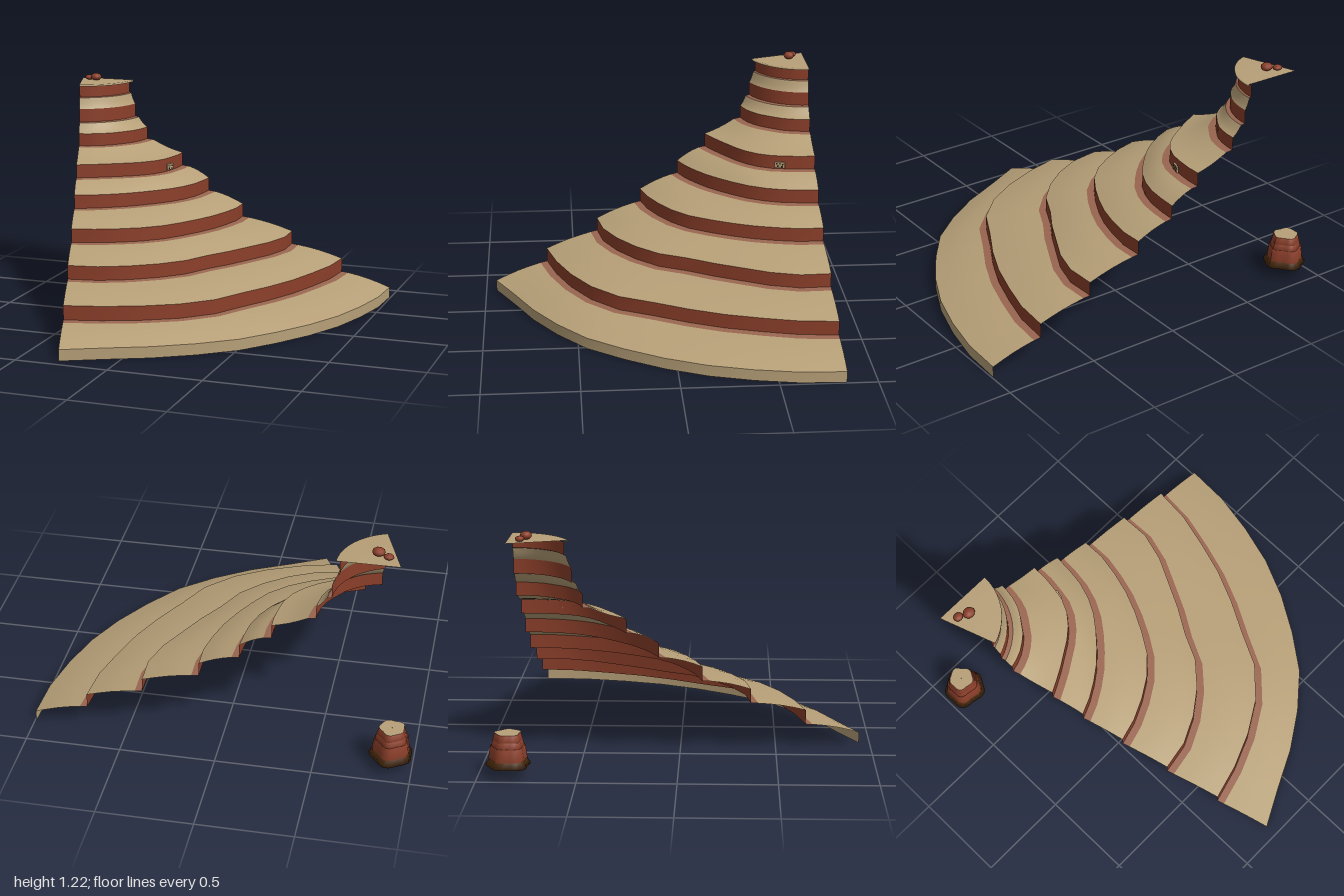
import * as THREE from 'three';

const mat = (name, color) => {
  const m = new THREE.MeshStandardMaterial({ color, side: THREE.DoubleSide });
  m.name = name;
  return m;
};

export function createModel() {
  const group = new THREE.Group();
  const sand = mat('sand', 0xb7a078);
  const red = mat('red rock', 0x8c3f2a);
  const dusty = mat('dusty red', 0x9a6650);
  const brown = mat('dark brown', 0x52300f);
  const dark = mat('dark opening', 0x2c1c12);

  const add = (name, geo, material, parent = group) => {
    const m = new THREE.Mesh(geo, material);
    m.name = name;
    parent.add(m);
    return m;
  };

  // Sheet lofted through rows of points
  const loft = (rows) => {
    const n = rows[0].length, pos = [], idx = [];
    rows.forEach((r) => r.forEach((p) => pos.push(...p)));
    for (let i = 0; i < rows.length - 1; i++) {
      for (let j = 0; j < n - 1; j++) {
        const a = i * n + j, b = a + n;
        idx.push(a, b, a + 1, b, b + 1, a + 1);
      }
    }
    const g = new THREE.BufferGeometry();
    g.setAttribute('position', new THREE.Float32BufferAttribute(pos, 3));
    g.setIndex(idx);
    g.computeVertexNormals();
    return g;
  };

  // Wedge fan: arcs around the apex, each with a slightly wavy radius
  const AX = -0.89, AZ = -0.84, SWEEP = 1.244, N = 10;
  const flat = new Array(N + 1).fill(0);
  const arc = (r, y, w = flat) => w.map((d, i) => {
    const a = (SWEEP * i) / N;
    return [AX + (r + d) * Math.cos(a), y, AZ + (r + d) * Math.sin(a)];
  });
  const rim = [0, .005, .005, .012, .014, .016, .025, .01, -.005, -.02, 0];
  // radius, foot height, top height, waviness
  const steps = [
    [1.60, .13, .207, [0, -.005, -.018, -.016, -.012, 0, .045, .05, .03, .005, -.02]],
    [1.30, .27, .345, [0, .015, 0, -.025, -.03, -.028, .01, .02, .02, .01, -.025]],
    [1.00, .41, .485, [0, .01, .01, .015, .02, .03, .045, .045, .035, .025, .01]],
    [.79, .55, .625, [0, 0, .005, .005, 0, -.01, -.015, -.015, -.015, -.012, -.01]],
    [.627, .69, .765, [0, .005, .01, .02, .02, .01, -.005, -.02, -.025, -.025, -.018]],
    [.405, .835, .905, [0, 0, 0, 0, -.005, -.008, -.005, -.008, -.01, -.015, -.02]],
    [.33, .965, 1.04, flat],
    [.295, 1.105, 1.17, flat],
  ];

  add('outerSkirt', loft([arc(1.883, 0, rim), arc(1.883, .06, rim)]), sand);
  let [pr, py, pw] = [1.883, .06, rim];
  steps.forEach(([r, foot, top, w], k) => {
    const strip = Math.min(.04, (pr - r) * .3);
    const stripY = foot - (foot - py) * .06;
    // sandy tread, slightly rounded
    const rows = [0, .25, .5, .75, 1].map((t) => {
      const y = py + (stripY - py) * t + (k < 5 ? .007 : -.007) * Math.sin(Math.PI * t);
      return arc(pr + (r + strip - pr) * t, y, pw.map((d, i) => d + (w[i] - d) * t));
    });
    add('sandTread' + (k + 1), loft(rows), sand);
    add('dustyFoot' + (k + 1), loft([arc(r + strip, stripY, w), arc(r, foot, w)]), dusty);
    add('redRiser' + (k + 1), loft([arc(r, foot, w), arc(r, top, w)]), red);
    [pr, py, pw] = [r, top, w];
  });

  // Summit lid
  add('summitLid', loft([arc(.315, 1.168), arc(.315, 1.179), arc(.003, 1.179)]), sand);

  // Boulders on the summit
  [[-.77, 1.2, -.75, .033, .022], [-.822, 1.192, -.775, .026, .015]].forEach(([x, y, z, r, h], i) => {
    const b = add('boulder' + (i + 1), new THREE.IcosahedronGeometry(1, 1), red);
    b.scale.set(r, h, r * .9);
    b.position.set(x, y, z);
  });

  // Little dwelling set in a riser
  const house = new THREE.Group();
  house.name = 'cliffDwelling';
  add('dwellingWall', new THREE.BoxGeometry(.056, .034, .009), sand, house);
  [[-.016, .007], [.002, .007], [.017, .005], [-.01, -.008], [.012, -.009]].forEach(([x, y], i) => {
    add('opening' + (i + 1), new THREE.BoxGeometry(.007, .008, .003), dark, house).position.set(x, y, .005);
  });
  const ha = .305;
  house.position.set(AX + .648 * Math.cos(ha), .715, AZ + .648 * Math.sin(ha));
  house.rotation.y = Math.PI / 2 - ha;
  group.add(house);

  // Separate lobed butte behind the apex
  const butte = new THREE.Group();
  butte.name = 'butte';
  const loop = (r, y) => Array.from({ length: 25 }, (_, i) => {
    const a = (i / 24) * Math.PI * 2;
    const q = r * (1 + .07 * Math.cos(5 * a + .6) + .04 * Math.sin(3 * a));
    return [q * Math.cos(a), y, q * Math.sin(a)];
  });
  add('butteSkirt', loft([loop(.001, .056), loop(.11, .056), loop(.088, .092)]), brown, butte);
  [[.094, .09, .085, .155], [.08, .155, .072, .187], [.073, .187, .063, .222]].forEach(([r0, y0, r1, y1], i) => {
    add('butteTier' + (i + 1), loft([loop(r0 - .012, y0), loop(r0, y0), loop(r1, y1), loop(r1 - .012, y1)]), red, butte);
  });
  add('butteCap', loft([loop(.064, .224), loop(.001, .224)]), sand, butte);
  butte.position.set(-.888, 0, -.845);
  group.add(butte);

  // Turn every sheet so its faces point up or outward
  const fix = (m) => {
    const g = m.geometry;
    if (g.type !== 'BufferGeometry') return;
    const p = g.attributes.position, n = g.attributes.normal;
    const cx = m.parent === butte ? 0 : AX, cz = m.parent === butte ? 0 : AZ;
    let s = 0;
    for (let i = 0; i < p.count; i++) {
      s += n.getX(i) * (p.getX(i) - cx) + n.getZ(i) * (p.getZ(i) - cz) + n.getY(i) * .2;
    }
    if (s < 0) {
      g.index.array.reverse();
      g.computeVertexNormals();
    }
  };
  group.traverse((o) => o.isMesh && fix(o));

  return group;
}
